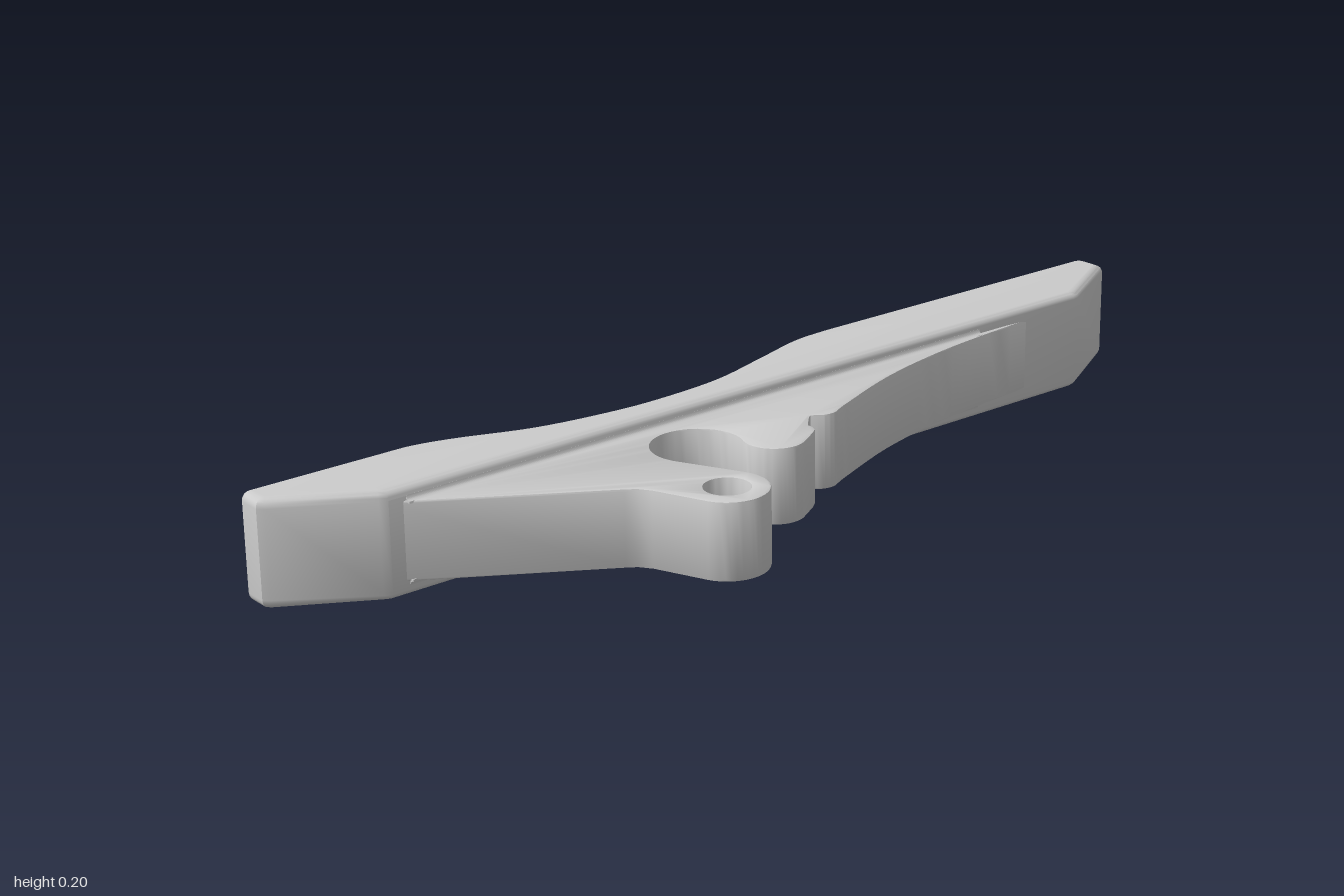
import * as THREE from 'three';
import { toCreasedNormals } from 'three/addons/utils/BufferGeometryUtils.js';

const material = new THREE.MeshStandardMaterial({ color: 0xcccccc });

// Plan points are written as [x, z]; the shape plane uses y = -z.
const toPlan = (pts) => pts.map(([x, z]) => new THREE.Vector2(x, -z));

function arc(cx, cz, r, from, to, steps = 24) {
  return Array.from({ length: steps + 1 }, (_, i) => {
    const a = THREE.MathUtils.degToRad(from + ((to - from) * i) / steps);
    return [cx + r * Math.cos(a), cz + r * Math.sin(a)];
  });
}

function spline(pts, steps = 30) {
  const curve = new THREE.SplineCurve(pts.map(([x, z]) => new THREE.Vector2(x, z)));
  return curve.getPoints(steps).map((p) => [p.x, p.y]);
}

// Upright slab between two heights, with its rim rounded inside the outline.
function slab(name, outline, bottom, top, round, segments, holes = []) {
  const shape = new THREE.Shape(toPlan(outline));
  holes.forEach((h) => shape.holes.push(new THREE.Path(toPlan(h))));
  const geometry = new THREE.ExtrudeGeometry(shape, {
    depth: top - bottom - 2 * round,
    bevelEnabled: true,
    bevelThickness: round,
    bevelSize: round,
    bevelOffset: -round,
    bevelSegments: segments,
  });
  geometry.rotateX(-Math.PI / 2).translate(0, bottom + round, 0);
  const mesh = new THREE.Mesh(toCreasedNormals(geometry, 0.6), material);
  mesh.name = name;
  return mesh;
}

export function createModel() {
  const group = new THREE.Group();
  group.name = 'leverBracket';

  // Thick bar with a shallow scooped back and chamfered ends
  const bar = [
    ...arc(-0.985, -0.257, 0.015, 180, 270, 5),
    ...spline([
      [-0.72, -0.272], [-0.66, -0.27], [-0.58, -0.25], [-0.45, -0.204],
      [-0.315, -0.182], [-0.2, -0.177], [-0.05, -0.19], [0.085, -0.228],
      [0.2, -0.263], [0.27, -0.271], [0.33, -0.272],
    ], 50),
    ...arc(0.975, -0.247, 0.025, 270, 360, 5),
    [1, -0.205], [0.83, -0.109], [0.815, -0.105],
    [-0.815, -0.105], [-0.83, -0.112], [-0.99, -0.207], [-1, -0.217],
  ];
  group.add(slab('bar', bar, 0, 0.2, 0.018, 5));

  // Thinner plate: pivot lug, round throat, rounded finger and tapering web
  const plate = [
    [-0.81, -0.12],
    [-0.475, 0.093], [-0.458, 0.105], [-0.443, 0.127],
    ...arc(-0.335, 0.195, 0.075, 155, -28),
    ...arc(-0.25, 0.01, 0.083, 153, 380, 32),
    ...arc(-0.122, 0.068, 0.058, 203, 65, 18),
    [-0.052, 0.094], [-0.041, 0.085], [-0.036, 0.074], [-0.035, 0.06],
    [-0.012, 0.036], [0, 0.026], [0.01, 0.033],
    ...spline([
      [0.02, 0.04], [0.045, 0.042], [0.09, 0.022], [0.246, -0.037],
      [0.406, -0.075], [0.567, -0.096], [0.75, -0.11],
    ], 36),
    [0.75, -0.12],
  ];
  const pivotHole = arc(-0.335, 0.195, 0.041, 360, 0, 36).slice(0, -1);
  group.add(slab('plate', plate, 0.029, 0.174, 0.004, 2, [pivotHole]));

  // Small concave fillets where the plate meets the bar, above and below
  const r = 0.009;
  const profile = new THREE.Shape();
  profile.moveTo(-0.004, -0.004).lineTo(r, -0.004).lineTo(r, 0);
  profile.absarc(r, r, r, -Math.PI / 2, -Math.PI, true);
  profile.lineTo(-0.004, r);
  const length = 1.33;
  for (const side of [1, -1]) {
    const geometry = new THREE.ExtrudeGeometry(profile, { depth: length, bevelEnabled: false, curveSegments: 6 });
    // Profile x runs forward (+z), its length runs along x
    geometry.rotateY(-Math.PI / 2).translate(length / 2, 0, 0);
    const fillet = new THREE.Mesh(toCreasedNormals(geometry, 0.6), material);
    fillet.name = side > 0 ? 'upperFillet' : 'lowerFillet';
    if (side < 0) fillet.rotation.z = Math.PI;
    fillet.position.set(-0.115, side > 0 ? 0.174 : 0.029, -0.105);
    group.add(fillet);
  }

  return group;
}
